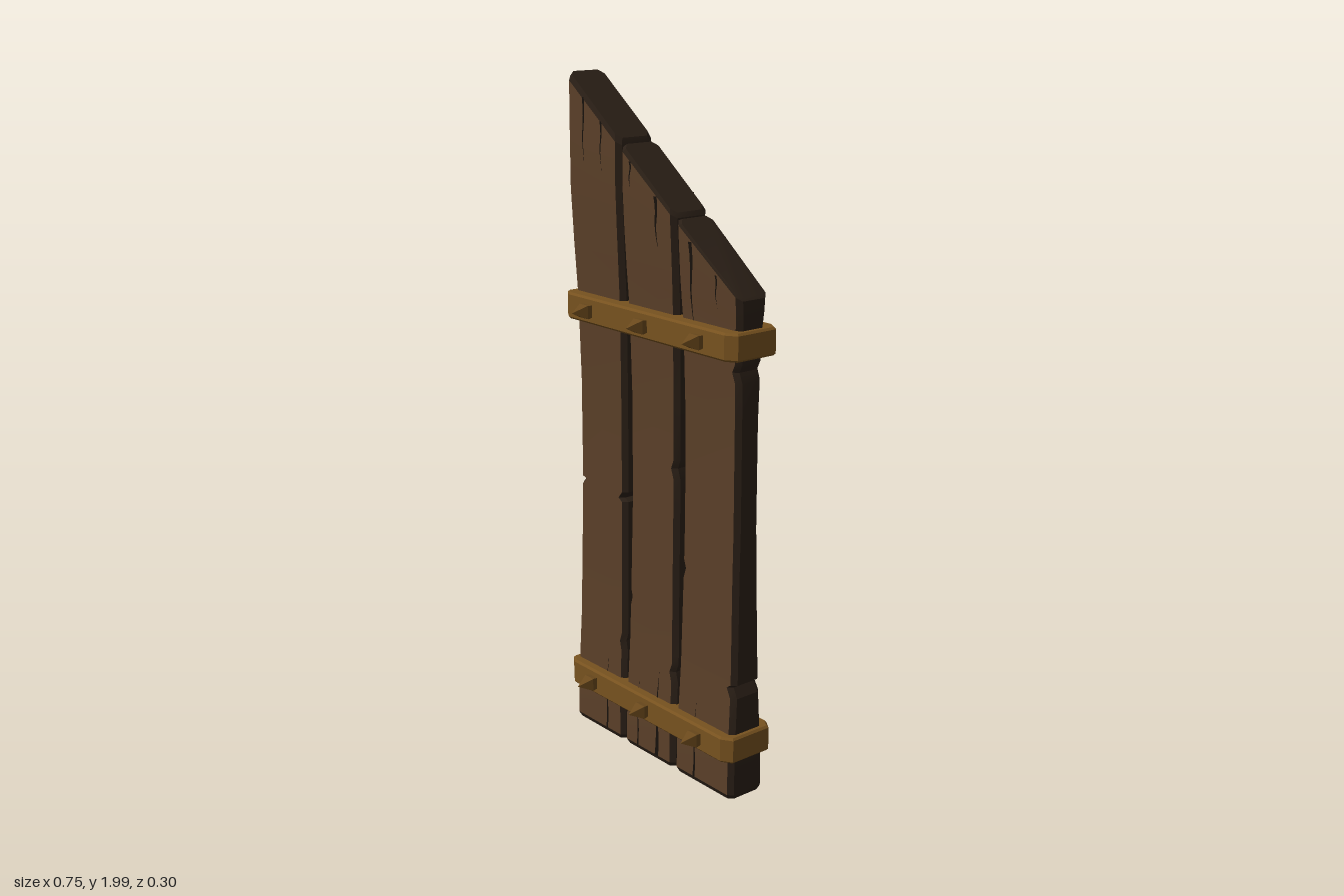
import * as THREE from 'three';
import { toCreasedNormals } from 'three/addons/utils/BufferGeometryUtils.js';

const mat = (color, side = THREE.FrontSide) => new THREE.MeshStandardMaterial({ color, side });
const wood = mat(0x5a3f28);
const darkWood = mat(0x2a1f16);
const crackWood = mat(0x17110c, THREE.DoubleSide);
const brass = mat(0x77521f);
const bolt = mat(0x6a491c);
bolt.flatShading = true;

const slopeTop = (x) => 2 - 0.755 * (x + 0.37); // slanted upper edge
const BEND = 1.35; // above this height the rows fan out to follow the slope

// Piecewise linear lookup in [y, value] pairs
function lookup(table, y) {
  for (let i = 1; i < table.length; i++) {
    const [y0, v0] = table[i - 1], [y1, v1] = table[i];
    if (y <= y1) return v0 + (v1 - v0) * Math.max(0, (y - y0) / (y1 - y0));
  }
  return table[table.length - 1][1];
}
const halfDepth = (y) => lookup([[0, 0.064], [0.13, 0.062], [0.35, 0.051], [0.8, 0.042],
  [1.1, 0.042], [1.35, 0.047], [1.5, 0.056], [1.68, 0.065], [2, 0.064]], y);
const narrowing = (y) => lookup([[0, 0], [0.25, 0.003], [0.7, 0.01], [1.1, 0.01], [1.5, 0.004], [2, 0]], y);

function meshFrom(points, material, name) {
  const g = new THREE.BufferGeometry().setFromPoints(points);
  const m = new THREE.Mesh(toCreasedNormals(g, 0.45), material);
  m.name = name;
  return m;
}

// Plank: bevelled cross-sections stacked upwards, with chips bitten out of the sides.
// chips: [side (-1 or 1), y, depth]
function makePlank(name, left, right, chips) {
  const levels = [0, 0.015, 0.13, 0.35, 0.55, 0.8, 1.1, BEND];
  chips.forEach(([, y]) => levels.push(y - 0.03, y, y + 0.025));
  levels.sort((a, b) => a - b);
  for (const s of [0.25, 0.5, 0.75, 0.97, 1]) levels.push(BEND + s); // fractions of the slanted part

  const last = levels.length - 1;
  const rows = levels.map((level, r) => {
    const bite = (side) => chips.reduce((d, c) => d + (c[0] === side && c[1] === level ? c[2] : 0), 0);
    const yRef = Math.min(level, 1.9);
    const end = r === 0 || r === last ? 0.007 : 0;
    const x0 = left + narrowing(yRef) + bite(-1) + end;
    const x1 = right - narrowing(yRef) - bite(1) - end;
    const bevel = 0.014;
    const corner = (x, side, depthCut) => {
      const y = level <= BEND ? level : BEND + (level - BEND) * (slopeTop(x) - BEND);
      return new THREE.Vector3(x, y, side * (halfDepth(y) - depthCut - end));
    };
    return [corner(x0, -1, 0.014), corner(x0, 1, 0.014), corner(x0 + bevel, 1, 0), corner(x1 - bevel, 1, 0),
      corner(x1, 1, 0.014), corner(x1, -1, 0.014), corner(x1 - bevel, -1, 0), corner(x0 + bevel, -1, 0)];
  });

  const faces = [], edges = [];
  for (let r = 0; r < last; r++) {
    for (let i = 0; i < 8; i++) {
      const j = (i + 1) % 8, a = rows[r], b = rows[r + 1];
      const broad = (i === 2 || i === 6) && r > 0 && r < last - 1;
      (broad ? faces : edges).push(a[i], a[j], b[j], a[i], b[j], b[i]);
    }
  }
  for (let i = 1; i < 7; i++) {
    edges.push(rows[last][0], rows[last][i], rows[last][i + 1]);
    edges.push(rows[0][0], rows[0][i + 1], rows[0][i]);
  }
  const group = new THREE.Group();
  group.name = name;
  group.add(meshFrom(faces, wood, 'plankFaces'), meshFrom(edges, darkWood, 'plankEdges'));
  return group;
}

// Split in the grain: a thin dark wedge on the front or back, tapering from y0 to y1
function makeCrack(x, y0, y1, width, side) {
  const points = [], n = 8;
  const at = (k, s) => {
    const y = y0 + (y1 - y0) * k / n;
    return new THREE.Vector3(x + s * width * (1 - k / n) / 2 + 0.003 * Math.sin(k), y, side * (halfDepth(y) + 0.0015));
  };
  for (let k = 0; k < n; k++) {
    const quad = [at(k, -1), at(k, 1), at(k + 1, 1), at(k + 1, -1)];
    // counter-clockwise as seen from outside
    const flip = (y1 > y0) === (side > 0);
    points.push(...(flip ? [0, 1, 2, 0, 2, 3] : [0, 2, 1, 0, 3, 2]).map((i) => quad[i]));
  }
  return meshFrom(points, crackWood, 'crack');
}

// Metal band with cut corners, lying around all planks
function makeBand() {
  const b = 0.006, w = 0.374 - b, d = 0.088 - b, cx = 0.028, cz = 0.018;
  const shape = new THREE.Shape([[-w, -d + cz], [-w + cx, -d], [w - cx, -d], [w, -d + cz],
    [w, d - cz], [w - cx, d], [-w + cx, d], [-w, d - cz]].map(([x, y]) => new THREE.Vector2(x, y)));
  const g = new THREE.ExtrudeGeometry(shape, { depth: 0.066, bevelSize: b, bevelThickness: b, bevelSegments: 1 });
  g.translate(0, 0, -0.033).rotateX(-Math.PI / 2);
  const m = new THREE.Mesh(toCreasedNormals(g, 0.3), brass);
  m.name = 'bandStrap';
  return m;
}

// Four-sided stud with its point along +z
const studGeometry = new THREE.LatheGeometry(
  [[0.024, -0.004], [0.028, 0.017], [0, 0.061]].map(([r, y]) => new THREE.Vector2(r, y)), 4)
  .rotateY(Math.PI / 4).rotateX(Math.PI / 2);

export function createModel() {
  const model = new THREE.Group();
  model.name = 'woodenBarricade';

  model.add(
    makePlank('rightPlank', -0.37, -0.132, [[-1, 0.79, 0.018], [1, 0.77, 0.016], [1, 0.32, 0.008]]),
    makePlank('middlePlank', -0.128, 0.104, [[-1, 0.48, 0.007], [1, 0.92, 0.01], [1, 0.3, 0.01]]),
    makePlank('leftPlank', 0.108, 0.36, [[1, 0.34, 0.016], [1, 1.25, 0.012], [-1, 0.64, 0.009]]));

  // Cracks running down from the slanted edge and up from the foot
  const cracks = new THREE.Group();
  cracks.name = 'cracks';
  for (const side of [1, -1]) {
    for (const [x, length, width] of [[-0.29, 0.2, 0.009], [-0.21, 0.14, 0.008], [0.03, 0.15, 0.014],
      [0.17, 0.24, 0.014], [-0.08, 0.08, 0.008], [0.27, 0.09, 0.007]]) {
      const y = slopeTop(x) - 0.012;
      cracks.add(makeCrack(x, y, y - length, width, side));
    }
    for (const [x, top, width] of [[0.03, 0.29, 0.016], [-0.21, 0.27, 0.008], [0.2, 0.26, 0.009], [-0.06, 0.24, 0.007]]) {
      cracks.add(makeCrack(x, 0.015, top, width, side));
    }
  }
  model.add(cracks);

  // Two bands, each with three studs on the front and on the back
  for (const [name, y] of [['lowerBand', 0.163], ['upperBand', 1.327]]) {
    const band = new THREE.Group();
    band.name = name;
    band.position.y = y;
    band.add(makeBand());
    for (const x of [-0.247, 0.002, 0.239]) {
      for (const side of [1, -1]) {
        const stud = new THREE.Mesh(studGeometry, bolt);
        stud.name = 'stud';
        stud.position.set(x, 0, side * 0.087);
        if (side < 0) stud.rotation.y = Math.PI;
        band.add(stud);
      }
    }
    model.add(band);
  }
  return model;
}
